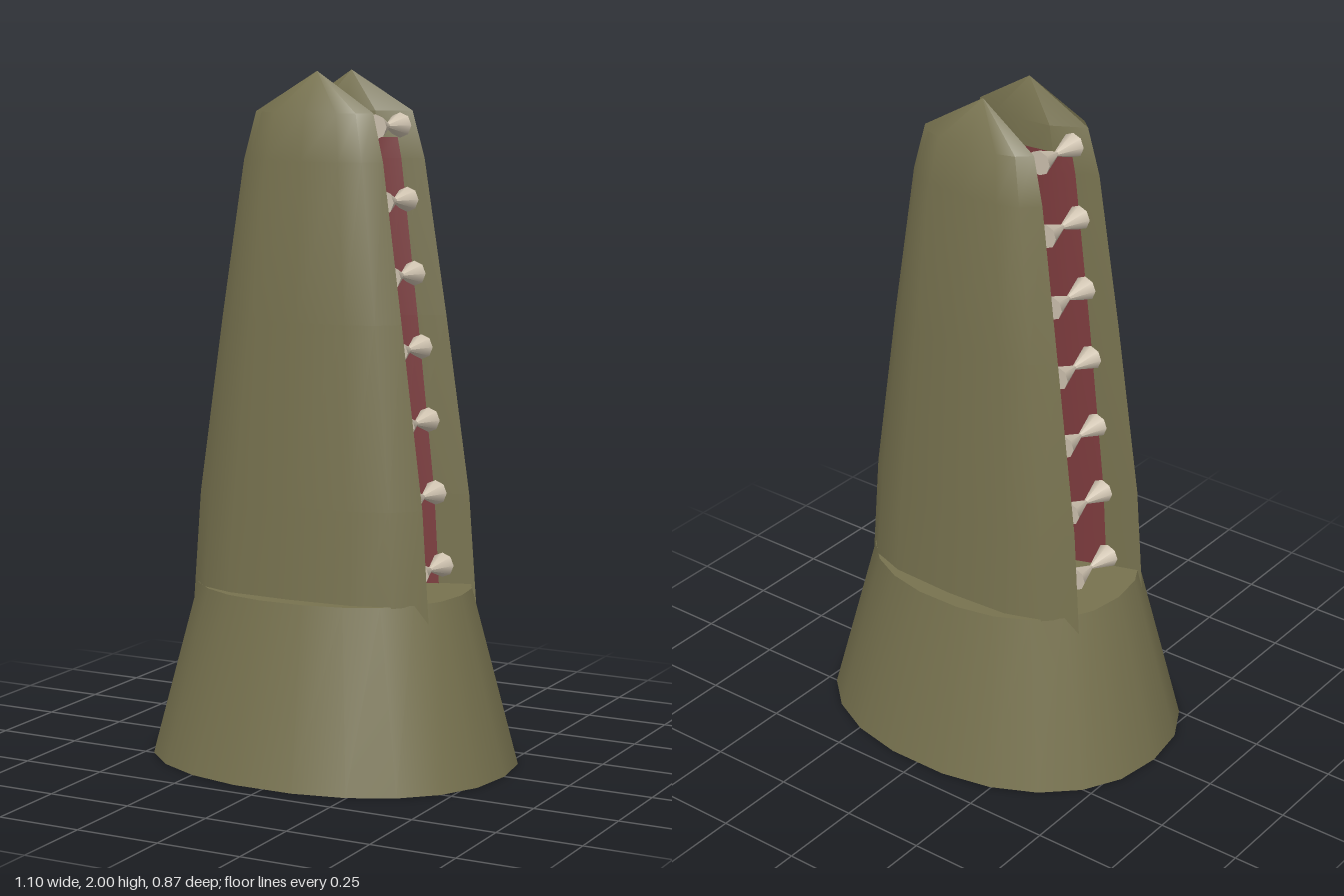
import * as THREE from 'three';
import { toCreasedNormals } from 'three/addons/utils/BufferGeometryUtils.js';

const hide = new THREE.MeshStandardMaterial({ name: 'olive hide', color: 0x77724f, side: THREE.DoubleSide });
const gumRed = new THREE.MeshStandardMaterial({ name: 'gum red', color: 0x7c3b3d, side: THREE.DoubleSide });
const ivory = new THREE.MeshStandardMaterial({ name: 'tooth ivory', color: 0xcfc3b0 });

// Joins rings of [x, y, z] points, listed bottom to top
function loft(rings, closed, crease) {
  const pos = [];
  const n = rings[0].length;
  for (let r = 0; r < rings.length - 1; r++) {
    for (let i = 0; i < (closed ? n : n - 1); i++) {
      const j = (i + 1) % n;
      const a = rings[r][i], b = rings[r][j], c = rings[r + 1][i], d = rings[r + 1][j];
      pos.push(...a, ...c, ...b, ...b, ...c, ...d);
    }
  }
  const geo = new THREE.BufferGeometry();
  geo.setAttribute('position', new THREE.Float32BufferAttribute(pos, 3));
  return toCreasedNormals(geo, crease);
}

function add(parent, name, geo, mat) {
  const mesh = new THREE.Mesh(geo, mat);
  mesh.name = name;
  parent.add(mesh);
  return mesh;
}

// Slightly squared oval ring
function oval(rx, rz, y, sides = 22) {
  const soft = (v) => Math.sign(v) * Math.abs(v) ** 0.91;
  return Array.from({ length: sides }, (_, i) => {
    const t = (i / sides) * Math.PI * 2;
    return [rx * soft(Math.cos(t)), y, rz * soft(Math.sin(t))];
  });
}

// Jaw stations: height, half width, edge z, outer z, inner z
const stations = [
  [0.36, 0.39, 0.16, 0.29, 0.087],
  [0.78, 0.36, 0.155, 0.265, 0.081],
  [1.3, 0.288, 0.145, 0.232, 0.075],
  [1.75, 0.222, 0.132, 0.204, 0.068],
  [1.885, 0.187, 0.124, 0.18, 0.065],
];

// Lens-shaped section: domed outer side, shallow bevelled inner side
function jawRing([y, w, edge, out, inn]) {
  const o = (f) => edge + (out - edge) * f;
  const k = (f) => inn + (edge - inn) * f;
  return [
    [w, y, edge], [0.8 * w, y, o(0.62)], [0.52 * w, y, o(0.92)], [0, y, out],
    [-0.52 * w, y, o(0.92)], [-0.8 * w, y, o(0.62)], [-w, y, edge],
    [-0.5 * w, y, k(0.14)], [0, y, inn], [0.5 * w, y, k(0.14)],
  ];
}

// Thin gum sheet lying over the inner side of the jaw
function gumRing([y, w, edge, , inn]) {
  const lift = 0.005;
  const k = (f) => inn + (edge - inn) * f - lift;
  return [[-0.74 * w, y, k(0.553)], [-0.5 * w, y, k(0.14)], [0, y, k(0)],
    [0.5 * w, y, k(0.14)], [0.74 * w, y, k(0.553)]];
}

function makeJaw(name) {
  const jaw = new THREE.Group();
  jaw.name = name;

  const rings = stations.map(jawRing);
  const count = rings[0].length;
  rings.unshift(Array(count).fill([0, 0.36, 0.18]));
  rings.push(Array(count).fill([0, 2, 0.105]));
  add(jaw, 'jawShell', loft(rings, true, 0.7), hide);

  const gumStations = [...stations.slice(0, 4), [1.81, 0.207, 0.129, 0.195, 0.067]];
  add(jaw, 'gum', loft(gumStations.map(gumRing), false, 0.7), gumRed);

  // Two rows of blunt teeth pointing across the gap
  const tooth = toCreasedNormals(new THREE.CylinderGeometry(0.006, 0.036, 0.082, 8).rotateX(-Math.PI / 2), 0.9);
  for (const side of [-1, 1]) {
    for (let i = 0; i < 7; i++) {
      const t = i / 6;
      const mesh = add(jaw, 'tooth', tooth, ivory);
      mesh.position.set(side * (0.31 - 0.14 * t), 0.58 + 1.265 * t, 0.041 - 0.004 * t);
    }
  }
  return jaw;
}

export function createModel() {
  const model = new THREE.Group();
  model.name = 'upturnedJaws';

  // Hollow flared neck, closed on top
  const neck = [oval(0.55, 0.44, 0), oval(0.41, 0.33, 0.515), oval(0, 0, 0.515)];
  add(model, 'neck', loft(neck, true, 0.7), hide);

  const front = makeJaw('frontJaw');
  const back = makeJaw('backJaw');
  back.rotation.y = Math.PI;
  model.add(front, back);
  return model;
}
